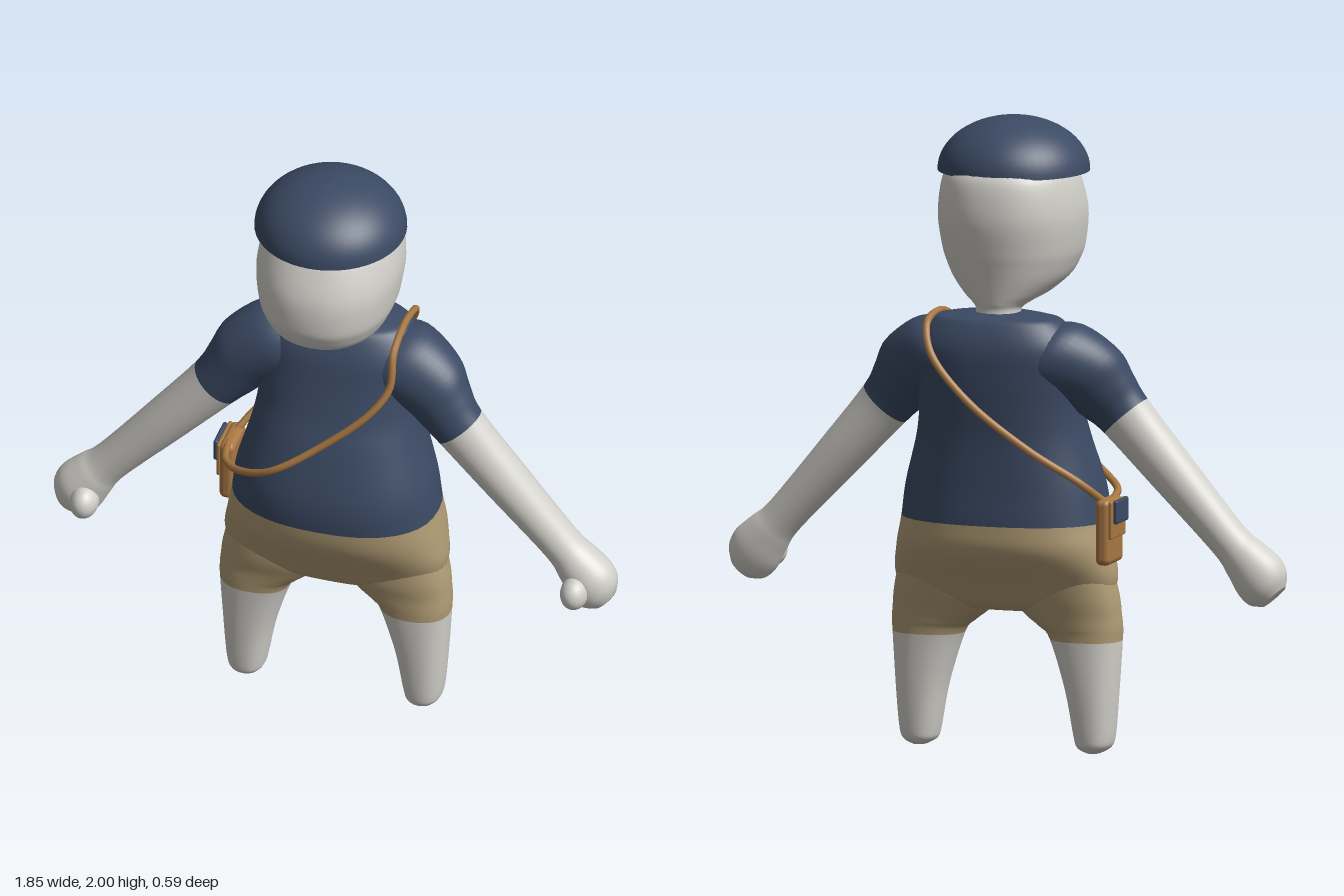
import * as THREE from 'three';
import { RoundedBoxGeometry } from 'three/addons/geometries/RoundedBoxGeometry.js';

const mat = (name, color) => {
  const m = new THREE.MeshStandardMaterial({ color });
  m.name = name;
  return m;
};

// Smooth loft through rings [x, y, z, radiusU, radiusZ, tilt in degrees].
// split: index of the key ring where the second material starts.
function loft(keys, { side = 1, power = 2, split = 0, sub = 5, n = 40 } = {}) {
  const cr = (a, b, c, d, t) => b + 0.5 * t * (c - a + t * (2 * a - 5 * b + 4 * c - d + t * (3 * (b - c) + d - a)));
  const at = i => keys[Math.min(Math.max(i, 0), keys.length - 1)];
  const bend = v => Math.sign(v) * Math.abs(v) ** (2 / power);
  const rows = (keys.length - 1) * sub + 1;
  const pos = [], idx = [];
  const tri = (a, b, c) => (side > 0 ? idx.push(a, b, c) : idx.push(a, c, b));
  for (let r = 0; r < rows; r++) {
    const i = Math.floor(r / sub), t = (r % sub) / sub;
    const [x, y, z, ru, rz, deg] = keys[0].map((_, k) => cr(at(i - 1)[k], at(i)[k], at(i + 1)[k], at(i + 2)[k], t));
    const tilt = THREE.MathUtils.degToRad(deg);
    for (let j = 0; j < n; j++) {
      const a = (j / n) * Math.PI * 2, u = ru * bend(Math.cos(a));
      pos.push(side * (x + u * Math.cos(tilt)), y + u * Math.sin(tilt), z + rz * bend(Math.sin(a)));
    }
  }
  // End caps share the rim, so the ends look rounded
  const first = rows * n, last = (rows - 1) * n;
  for (const k of [keys[0], keys[keys.length - 1]]) pos.push(side * k[0], k[1], k[2]);
  for (let j = 0; j < n; j++) tri(first, (j + 1) % n, j);
  let cut = 0;
  for (let r = 0; r < rows - 1; r++) {
    if (r === split * sub) cut = idx.length;
    for (let j = 0; j < n; j++) {
      const a = r * n + j, b = r * n + (j + 1) % n;
      tri(a, b, a + n);
      tri(b, b + n, a + n);
    }
  }
  for (let j = 0; j < n; j++) tri(first + 1, last + j, last + (j + 1) % n);
  const g = new THREE.BufferGeometry();
  g.setAttribute('position', new THREE.Float32BufferAttribute(pos, 3));
  g.setIndex(idx);
  g.computeVertexNormals();
  if (split) {
    g.addGroup(0, cut, 0);
    g.addGroup(cut, idx.length - cut, 1);
  }
  return g;
}

// Horizontal ring from its extents
const ring = ([y, x0, x1, front, back]) => [(x0 + x1) / 2, y, (front + back) / 2, (x1 - x0) / 2, (front - back) / 2, 0];
const centred = ([y, half, front, back]) => ring([y, -half, half, front, back]);

export function createModel() {
  const group = new THREE.Group();
  const skin = mat('pale skin', 0xd2d0ca);
  const navy = mat('navy cloth', 0x3b4a64);
  const khaki = mat('khaki cloth', 0xb09b74);
  const leather = mat('tan leather', 0xa97843);
  const cap = mat('navy cap', 0x3b4a64);
  cap.side = THREE.DoubleSide;
  const add = (name, geometry, material) => {
    const m = new THREE.Mesh(geometry, material);
    m.name = name;
    group.add(m);
    return m;
  };

  // Head and neck
  add('head', loft([
    [1.93, 0.08, 0.12, -0.09], [1.9, 0.14, 0.16, -0.15], [1.85, 0.19, 0.2, -0.21], [1.8, 0.214, 0.235, -0.238],
    [1.7, 0.228, 0.278, -0.25], [1.6, 0.217, 0.284, -0.236], [1.55, 0.202, 0.27, -0.225], [1.5, 0.176, 0.235, -0.214],
    [1.455, 0.13, 0.14, -0.205], [1.43, 0.09, 0.03, -0.2], [1.41, 0.07, -0.045, -0.195], [1.37, 0.075, -0.04, -0.2],
  ].map(centred), { power: 2.2 }), skin);

  // Cap: open dome
  const dome = [];
  for (let i = 0; i <= 16; i++) {
    const a = (i / 16) * Math.PI / 2;
    dome.push(new THREE.Vector2(0.24 * Math.cos(a), 1.83 + 0.17 * Math.sin(a)));
  }
  dome[16].x = 0;
  add('cap', new THREE.LatheGeometry(dome, 48), cap).position.z = 0.02;

  // Shirt body running into the seat of the shorts
  add('torso', loft([
    [1.402, 0.08, -0.05, -0.2], [1.393, 0.17, -0.035, -0.225], [1.375, 0.215, -0.01, -0.25], [1.3, 0.265, 0.03, -0.28],
    [1.2, 0.265, 0.058, -0.282], [1.1, 0.262, 0.09, -0.277], [1.0, 0.277, 0.13, -0.272], [0.85, 0.318, 0.175, -0.275],
    [0.74, 0.333, 0.18, -0.28], [0.65, 0.35, 0.163, -0.272], [0.55, 0.362, 0.105, -0.2], [0.48, 0.32, 0.068, -0.155],
    [0.452, 0.2, 0.04, -0.12], [0.445, 0.1, 0.0, -0.08],
  ].map(centred), { power: 2.35, split: 8 }), [navy, khaki]);

  for (const side of [1, -1]) {
    const label = side > 0 ? 'left' : 'right';

    // Shorts leg and bare leg
    add(label + 'Leg', loft([
      [0.6, 0.03, 0.345, 0.07, -0.18], [0.5, 0.02, 0.368, 0.07, -0.16], [0.44, 0.06, 0.375, 0.06, -0.143],
      [0.4, 0.11, 0.378, 0.057, -0.135], [0.36, 0.146, 0.376, 0.055, -0.13], [0.2, 0.198, 0.365, 0.048, -0.125],
      [0.06, 0.225, 0.353, 0.04, -0.115], [0.02, 0.237, 0.34, 0.03, -0.105], [0.002, 0.265, 0.312, 0.0, -0.075],
    ].map(ring), { side, power: 2.3, split: 4 }), [khaki, skin]);

    // Sleeve, arm and mitten hand
    add(label + 'Arm', loft([
      [0.12, 1.25, -0.12, 0.12, 0.13, 75], [0.2, 1.25, -0.115, 0.138, 0.135, 62], [0.3, 1.2, -0.09, 0.122, 0.112, 48],
      [0.35, 1.14, -0.07, 0.103, 0.09, 44], [0.4, 1.078, -0.056, 0.088, 0.076, 41], [0.55, 0.91, -0.05, 0.076, 0.073, 43],
      [0.735, 0.705, -0.045, 0.064, 0.066, 43], [0.79, 0.645, -0.04, 0.075, 0.074, 43],
      [0.835, 0.59, -0.035, 0.088, 0.08, 43], [0.865, 0.55, -0.035, 0.078, 0.07, 43], [0.885, 0.525, -0.035, 0.045, 0.045, 43],
    ], { side, split: 4 }), [navy, skin]);

    // Thumb bulge on the front of the hand
    const thumb = add(label + 'Thumb', new THREE.SphereGeometry(1, 24, 16), skin);
    thumb.scale.set(0.045, 0.055, 0.06);
    thumb.position.set(side * 0.805, 0.58, 0.033);
  }

  // Shoulder strap looping from the bag over the left shoulder
  const path = new THREE.CatmullRomCurve3([
    [-0.365, 0.82, -0.16], [-0.3, 0.89, -0.23], [-0.15, 0.99, -0.278], [0.05, 1.14, -0.29], [0.17, 1.28, -0.28],
    [0.2, 1.365, -0.235], [0.2, 1.392, -0.12], [0.2, 1.355, 0], [0.2, 1.25, 0.045], [0.15, 1.17, 0.085],
    [0, 1.04, 0.135], [-0.15, 0.94, 0.17], [-0.28, 0.865, 0.1], [-0.345, 0.835, 0.02], [-0.37, 0.82, -0.09],
  ].map(p => new THREE.Vector3(...p)));
  add('strap', new THREE.TubeGeometry(path, 120, 0.012, 8), leather);

  // Bag with flap and clasp plate
  add('bag', new RoundedBoxGeometry(0.05, 0.21, 0.145, 4, 0.02), leather).position.set(-0.368, 0.725, -0.125);
  add('bagFlap', new RoundedBoxGeometry(0.012, 0.12, 0.135, 3, 0.005), leather).position.set(-0.394, 0.765, -0.125);
  add('bagClasp', new RoundedBoxGeometry(0.016, 0.075, 0.11, 3, 0.007), navy).position.set(-0.407, 0.79, -0.125);

  return group;
}
